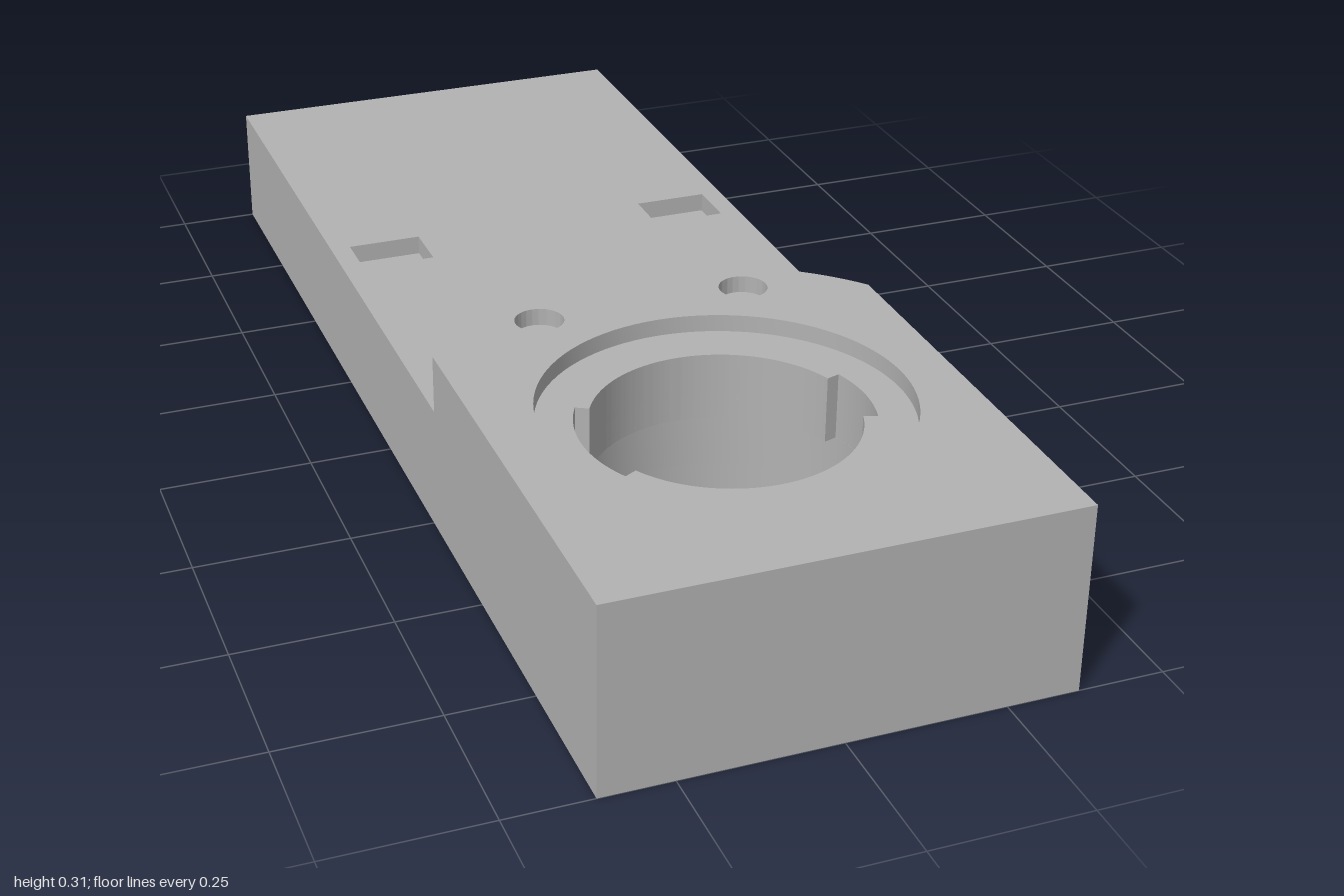
import * as THREE from 'three';
import { toCreasedNormals } from 'three/addons/utils/BufferGeometryUtils.js';

const W = 0.364, L = 1, WALL = 0.06;      // half width, half length, wall thickness
const CEIL = 0.073, DECK = 0.21, TOP = 0.306;
const CZ = 0.555;                         // z of the socket axis
const BORE = 0.225, LIP = 0.203;

export function createModel() {
  const group = new THREE.Group();
  const grey = new THREE.MeshStandardMaterial({ color: 0xb2b2b2 });
  grey.name = 'plain grey';

  const add = (name, geo) => {
    const mesh = new THREE.Mesh(toCreasedNormals(geo, 0.5), grey);
    mesh.name = name;
    group.add(mesh);
  };
  const extrude = (shape, depth) =>
    new THREE.ExtrudeGeometry(shape, { depth, bevelEnabled: false, curveSegments: 48 });
  // Plan shape (x, z) raised from y0 to y1
  const slab = (name, shape, holes, y0, y1) => {
    shape.holes.push(...holes);
    add(name, extrude(shape, y1 - y0).rotateX(Math.PI / 2).translate(0, y1, 0));
  };
  const polygon = (pts) => new THREE.Shape(pts.map(([a, b]) => new THREE.Vector2(a, b)));
  const rect = (x0, z0, x1, z1) => polygon([[x0, z0], [x1, z0], [x1, z1], [x0, z1]]);
  const circle = (x, z, r) => new THREE.Shape().absarc(x, z, r, 0, Math.PI * 2, false);
  const base = () => rect(-W, -L, W, L);

  // Bayonet opening: round lip with a narrow and a wide notch
  const opening = () => {
    const p = new THREE.Path();
    const rad = THREE.MathUtils.degToRad;
    [[LIP, 18, 151.5], [BORE, 151.5, 208.5], [LIP, 208.5, 342], [BORE, 342, 378]]
      .forEach(([r, a, b]) => p.absarc(0, CZ, r, rad(a), rad(b), false));
    p.closePath();
    return p;
  };

  // Raised pad with an arched rear edge
  const pad = () => {
    const s = new THREE.Shape();
    const r = 0.465, a = -Math.acos(W / r);
    s.moveTo(-W, L);
    s.lineTo(W, L);
    s.absarc(0, 0.56, r, a, -Math.PI - a, true);
    s.closePath();
    return s;
  };

  // Skirt walls on three sides, open towards +x
  const ix = W - WALL, iz = L - WALL;
  slab('skirtWalls', polygon([
    [ix, -L], [-W, -L], [-W, L], [ix, L], [ix, iz], [-ix, iz], [-ix, -iz], [ix, -iz],
  ]), [], 0, CEIL);

  // Left wall with a row of slots along its lower edge
  const profile = [[-L, 0]];
  for (let i = 0; i < 14; i++) {
    const u = 0.118 + i * 0.0617, v = u + 0.037;
    profile.push([u, 0], [u, 0.04], [v, 0.04], [v, 0]);
  }
  profile.push([L, 0], [L, CEIL], [-L, CEIL]);
  add('slottedWall', extrude(polygon(profile), WALL).rotateY(Math.PI / 2).translate(ix, 0, 0));

  // Socket tube hanging below the deck
  slab('socketTube', circle(0, CZ, 0.274), [circle(0, CZ, BORE)], 0, CEIL);

  // Deck, in layers where its openings change
  const pockets = [-1, 1].map((s) => rect(s * 0.268 - 0.062, -0.35, s * 0.268 + 0.062, -0.26));
  slab('deckLower', base(), [circle(0, CZ, BORE)], CEIL, 0.168);
  slab('deckMiddle', base(), [opening()], 0.168, 0.178);
  slab('deckTop', base(), [opening(), ...pockets], 0.178, DECK);

  // Raised pad: lip layer, then the round recess and two pin holes
  const pins = [-1, 1].map((s) => circle(s * 0.172, 0.21, 0.039));
  slab('padLower', pad(), [opening()], DECK, 0.278);
  slab('padTop', pad(), [circle(0, CZ, 0.283), ...pins], 0.278, TOP);

  return group;
}
